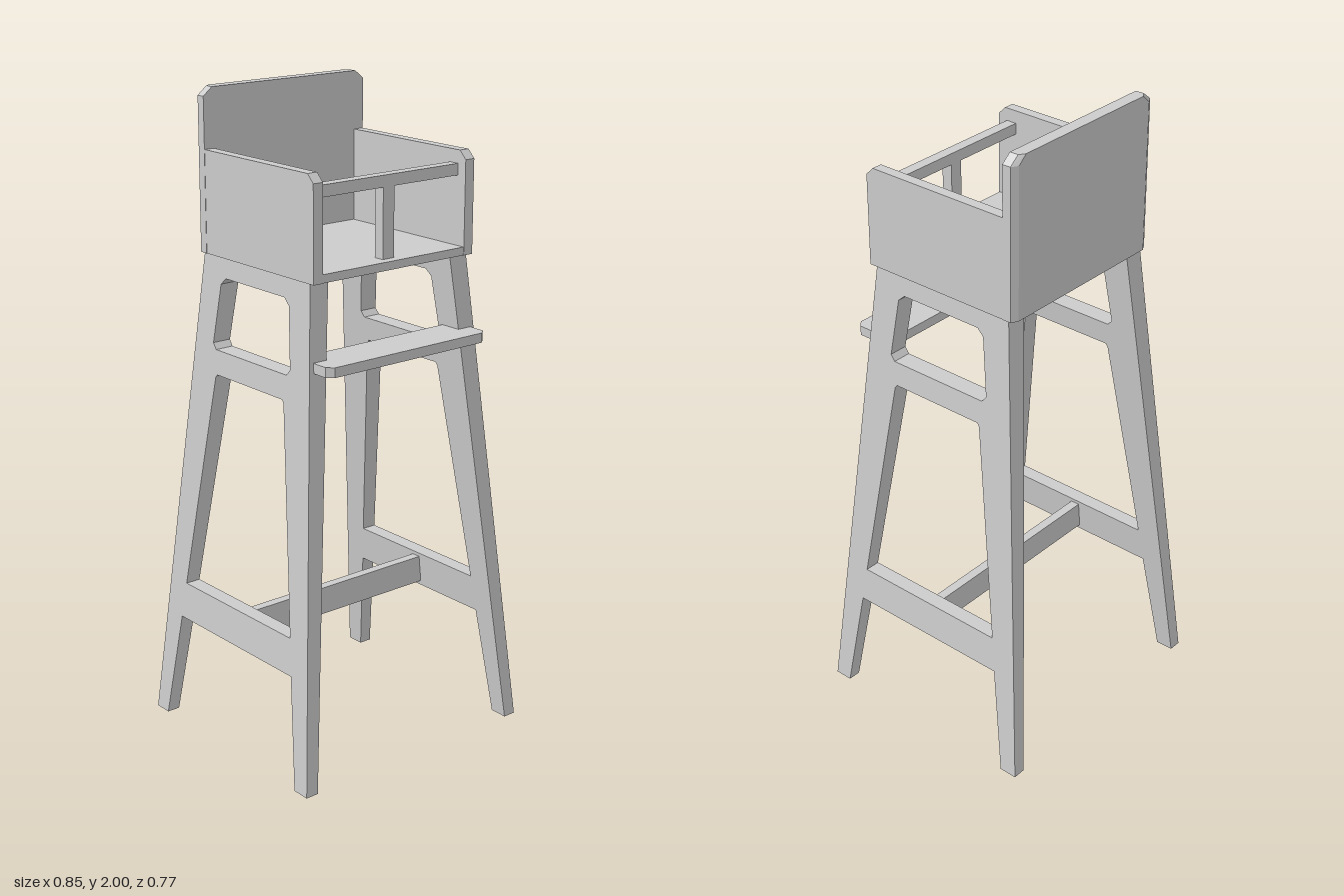
import * as THREE from 'three';

const material = new THREE.MeshStandardMaterial({ color: 0xcccccc });

// Polygon mirrored about the vertical axis, from its positive half listed bottom to top
function mirrored(half) {
  const other = half.map(([x, y]) => [-x, y]).reverse();
  return [...half, ...other].map(([x, y]) => new THREE.Vector2(x, y));
}

function extrude(points, depth, holes = [], steps = 1) {
  const shape = new THREE.Shape(points);
  holes.forEach((h) => shape.holes.push(new THREE.Path(h)));
  return new THREE.ExtrudeGeometry(shape, { depth, steps, bevelEnabled: false });
}

// Apply a rule to every vertex, then refresh the flat normals
function reshape(geometry, rule) {
  const p = geometry.attributes.position;
  const v = new THREE.Vector3();
  for (let i = 0; i < p.count; i++) {
    rule(v.fromBufferAttribute(p, i));
    p.setXYZ(i, v.x, v.y, v.z);
  }
  geometry.computeVertexNormals();
  return geometry;
}

export function createModel() {
  const model = new THREE.Group();

  function add(name, geometry) {
    const mesh = new THREE.Mesh(geometry, material);
    mesh.name = name;
    model.add(mesh);
    return mesh;
  }

  // Box given by its limits along each axis
  function box(name, [x0, x1], [y0, y1], [z0, z1]) {
    const g = new THREE.BoxGeometry(x1 - x0, y1 - y0, z1 - z0);
    g.translate((x0 + x1) / 2, (y0 + y1) / 2, (z0 + z1) / 2);
    return add(name, g);
  }

  // Side frames: a pair of legs with rails, leaning inwards and thicker at the top
  const seatY = 1.51;
  const outline = [
    ...[[0.277, 0.345], [0.328, 0], [0.386, 0], [0.25, seatY]],
  ];
  const lowerOpening = [[0.262, 0.46], [0.165, 1.145], [0.158, 1.155]];
  const upperOpening = [[0.17, 1.23], [0.185, 1.248], [0.162, 1.43], [0.14, 1.45]];
  const frame = reshape(
    extrude(mirrored(outline), 1, [mirrored(lowerOpening), mirrored(upperOpening)]),
    (v) => {
      const t = v.y / seatY;
      const inner = THREE.MathUtils.lerp(0.385, 0.232, t);
      const outer = THREE.MathUtils.lerp(0.427, 0.297, t);
      v.set(THREE.MathUtils.lerp(inner, outer, v.z), v.y, -v.x);
    },
  );
  add('leftLegFrame', frame);
  add('rightLegFrame', frame).rotation.y = Math.PI;

  // Stretcher joining the two lower side rails, with ends cut to the lean of the frames
  const stretcher = extrude(mirrored([[0.349, 0.36], [0.34, 0.448]]), 0.03);
  stretcher.translate(0, 0, -0.012);
  add('stretcher', stretcher);

  // Footrest with clipped front corners, set between the front legs
  const footrest = extrude(mirrored([[0.303, -0.2], [0.303, -0.325], [0.283, -0.343]].reverse()), 0.03);
  footrest.rotateX(-Math.PI / 2).translate(0, 1.255, 0);
  add('footrest', footrest);

  // Seat floor
  box('seat', [-0.268, 0.268], [seatY, 1.535], [-0.235, 0.27]);

  // Side walls with the top front corner clipped
  const wallPoints = [[-0.272, seatY], [0.235, seatY], [0.235, 1.82], [-0.247, 1.82], [-0.272, 1.795]]
    .map(([x, y]) => new THREE.Vector2(x, y));
  for (const [name, x] of [['leftArmPanel', 0.268], ['rightArmPanel', -0.302]]) {
    const wall = extrude(wallPoints, 0.034);
    wall.rotateY(Math.PI / 2).translate(x, 0, 0);
    add(name, wall);
  }

  // Backrest: clipped top corners and chamfered rear edges
  const back = reshape(
    extrude(mirrored([[0.303, seatY], [0.303, 1.975], [0.272, 2]]), 0.04, [], 2),
    (v) => {
      if (v.z < 0.01) v.x *= 0.93;
      else if (v.z < 0.03) v.z = 0.012;
      v.z -= 0.273;
    },
  );
  add('backrest', back);

  // Front safety rail and its centre post
  box('frontRail', [-0.268, 0.268], [1.745, 1.78], [0.205, 0.24]);
  box('centrePost', [-0.021, 0.021], [1.535, 1.745], [0.205, 0.24]);

  return model;
}
